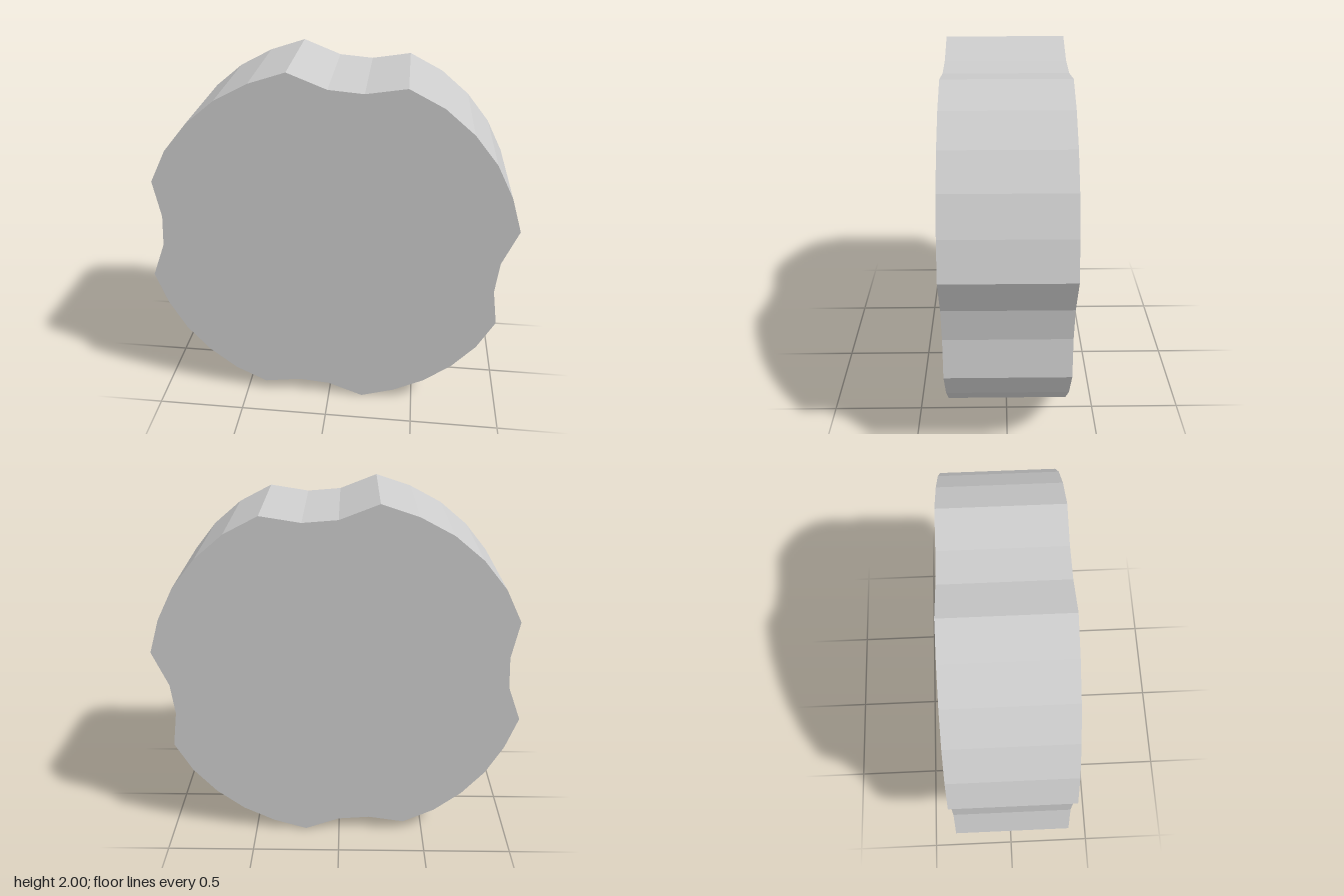
import * as THREE from 'three';

const DEPTH = 0.63;

// One quarter of the rim, clockwise: shallow scoop, then rounded lobe
const QUARTER = [
  [-0.2, 1.0], [0, 0.922], [0.18, 0.907], [0.388, 0.94],
  [0.567, 0.848], [0.72, 0.72], [0.845, 0.567], [0.938, 0.39],
];

export function createModel() {
  const group = new THREE.Group();
  group.name = 'scallopedKnob';

  // Repeat the quarter four times, turning 90 degrees clockwise each time
  const outline = [];
  for (let q = 0; q < 4; q++) {
    for (let [x, y] of QUARTER) {
      for (let i = 0; i < q; i++) [x, y] = [y, -x];
      outline.push(new THREE.Vector2(x, y));
    }
  }

  // Flat-faced solid disc with faceted rim
  const geometry = new THREE.ExtrudeGeometry(new THREE.Shape(outline), {
    depth: DEPTH, bevelEnabled: false,
  });
  geometry.translate(0, 1, -DEPTH / 2);

  const body = new THREE.Mesh(
    geometry,
    new THREE.MeshStandardMaterial({ color: 0xcccccc, flatShading: true }),
  );
  body.name = 'knobBody';
  group.add(body);
  return group;
}
